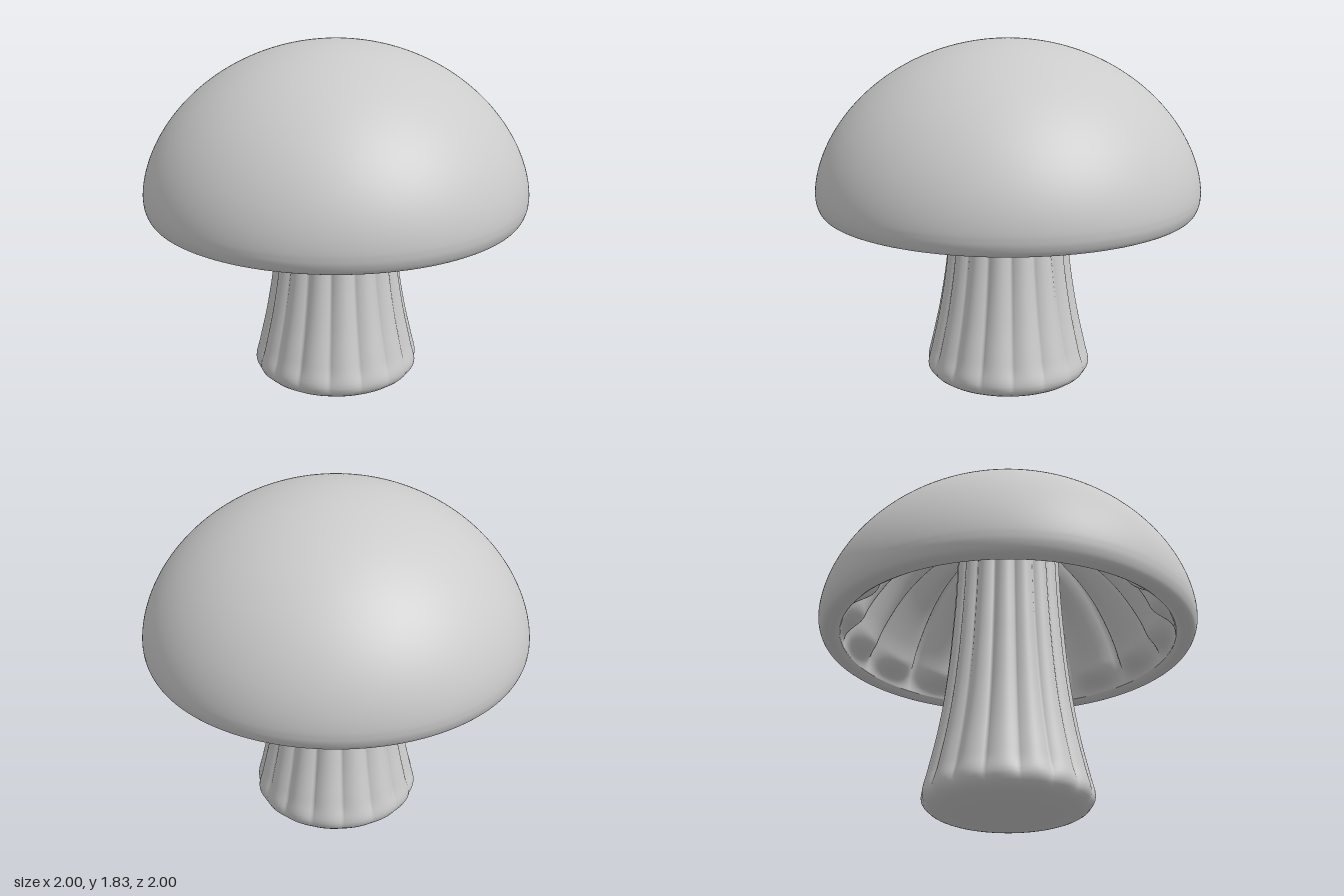
import * as THREE from 'three';
import { mergeVertices } from 'three/addons/utils/BufferGeometryUtils.js';

const LOBES = 16;
const SEGMENTS = 256;

// Smooth curve through [radius, height] points, listed so that faces point outward
function smoothProfile(points, divisions) {
  const curve = new THREE.SplineCurve(points.map(([r, y]) => new THREE.Vector2(r, y)));
  return curve.getSpacedPoints(divisions).map((p) => p.setX(Math.max(p.x, 0)));
}

// Lathe whose vertices may be shifted by shape(radius, height, angle) -> [radius, height]
function turned(name, profile, material, shape) {
  let geometry = new THREE.LatheGeometry(profile, SEGMENTS);
  geometry.deleteAttribute('uv');
  geometry.deleteAttribute('normal');
  const position = geometry.attributes.position;
  if (shape) {
    for (let i = 0; i < position.count; i++) {
      const x = position.getX(i), z = position.getZ(i);
      const angle = Math.atan2(x, z);
      const [r, y] = shape(Math.hypot(x, z), position.getY(i), angle);
      position.setXYZ(i, r * Math.sin(angle), y, r * Math.cos(angle));
    }
  }
  geometry = mergeVertices(geometry, 1e-5);
  geometry.computeVertexNormals();
  const mesh = new THREE.Mesh(geometry, material);
  mesh.name = name;
  return mesh;
}

export function createModel() {
  const model = new THREE.Group();
  model.name = 'mushroom';
  const material = new THREE.MeshStandardMaterial({ color: 0xcccccc, roughness: 0.8, side: THREE.DoubleSide });

  // Domed cap: rounded lower rim, then a full, slightly pointed dome
  const rim = smoothProfile([
    [0.885, 0.975], [0.91, 0.958], [0.94, 0.957], [0.975, 0.972], [0.995, 1.015], [1, 1.06],
  ], 24);
  const dome = [];
  for (let i = 1; i <= 60; i++) {
    const a = (i / 60) * Math.PI / 2;
    dome.push(new THREE.Vector2(Math.max(Math.cos(a), 0), 1.06 + 0.775 * Math.pow(Math.sin(a), 1.14)));
  }
  model.add(turned('cap', [...rim, ...dome], material));

  // Hollow underside: broad rounded gills running down to the inside of the rim
  const gillProfile = smoothProfile([
    [0.2, 1.68], [0.45, 1.61], [0.65, 1.46], [0.8, 1.25], [0.87, 1.07], [0.885, 0.975],
  ], 80);
  model.add(turned('gills', gillProfile, material, (r, y, angle) => {
    const lobe = Math.pow(Math.abs(Math.sin(angle * LOBES / 2)), 0.75);
    const swell = 0.11 * lobe * THREE.MathUtils.smoothstep(y, 0.96, 1.16)
      * THREE.MathUtils.smoothstep(r, 0.15, 0.5);
    return [r - swell * 0.75, y - swell * 0.66];
  }));

  // Flaring stem with shallow grooves that fade out under the foot
  const stemProfile = smoothProfile([
    [0, 0.005], [0.2, 0.012], [0.33, 0.026], [0.405, 0.055], [0.437, 0.11], [0.414, 0.22],
    [0.374, 0.4], [0.34, 0.6], [0.316, 0.8], [0.302, 0.96], [0.283, 1.25], [0.27, 1.68],
  ], 90);
  model.add(turned('stem', stemProfile, material, (r, y, angle) => {
    const groove = 1 - Math.pow(Math.abs(Math.cos(angle * LOBES / 2)), 0.85);
    return [r - 0.024 * groove * THREE.MathUtils.smoothstep(y, 0.02, 0.2), y];
  }));

  return model;
}
